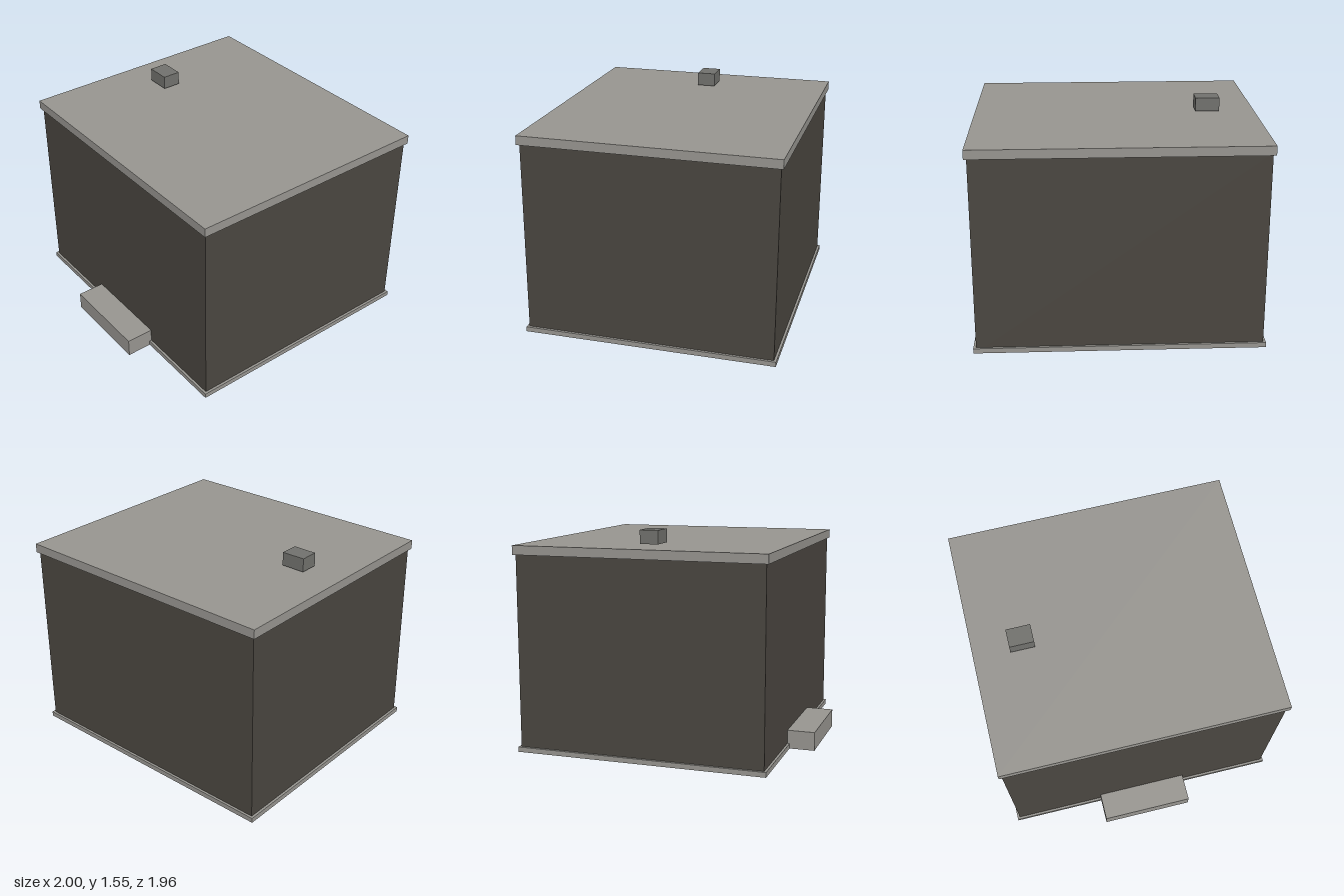
import * as THREE from 'three';

export function createModel() {
  const model = new THREE.Group();
  model.name = 'flatRoofBuilding';

  const material = (name, color) => {
    const m = new THREE.MeshStandardMaterial({ color });
    m.name = name;
    return m;
  };
  const concrete = material('light concrete', 0x979590);
  const cladding = material('dark cladding', 0x4a4640);
  const metal = material('grey metal', 0x71716d);

  // Box given by its lower and upper limits on each axis
  const addBox = (name, mat, [x0, x1], [y0, y1], [z0, z1]) => {
    const mesh = new THREE.Mesh(new THREE.BoxGeometry(x1 - x0, y1 - y0, z1 - z0), mat);
    mesh.position.set((x0 + x1) / 2, (y0 + y1) / 2, (z0 + z1) / 2);
    mesh.name = name;
    model.add(mesh);
  };

  // Body, reaching just below the plinth so its underside shows
  addBox('walls', cladding, [-0.982, 0.982], [0, 1.4], [-0.963, 0.785]);

  // Projecting trim at the foot and the roof
  addBox('plinth', concrete, [-1, 1], [0.002, 0.037], [-0.98, 0.802]);
  addBox('roofSlab', concrete, [-1, 1], [1.383, 1.447], [-0.98, 0.802]);

  // Entrance step at the front
  addBox('entranceStep', concrete, [-0.33, 0.33], [0.002, 0.134], [0.78, 0.98]);

  // Small roof unit, held slightly clear of the slab
  addBox('roofUnit', metal, [-0.743, -0.572], [1.458, 1.553], [-0.155, -0.024]);

  return model;
}
